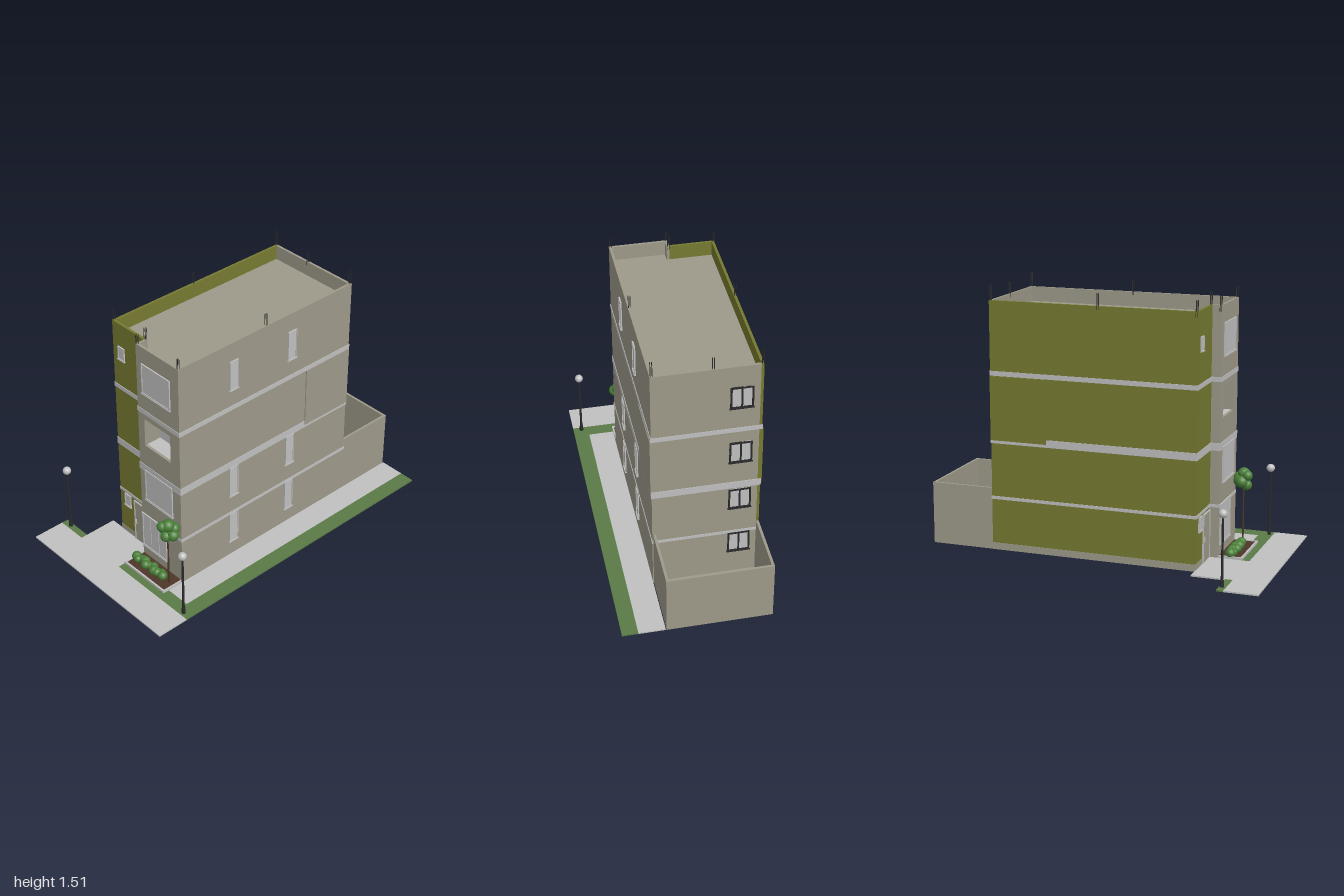
import * as THREE from 'three';

const mat = (name, color) => {
  const m = new THREE.MeshStandardMaterial({ color });
  m.name = name;
  return m;
};

export function createModel() {
  const beige = mat('beige plaster', 0x9e9a8a), olive = mat('olive paint', 0x767a30);
  const grey = mat('light grey', 0xc0c0c0), grass = mat('grass', 0x5a7a46);
  const leaf = mat('leaves', 0x4a8038), soil = mat('soil', 0x4e3629);
  const black = mat('dark metal', 0x2a2a2c), bark = mat('bark', 0x4a3a26);

  const root = new THREE.Group();
  root.name = 'apartmentHouse';
  const group = (name) => {
    const g = new THREE.Group();
    g.name = name;
    root.add(g);
    return g;
  };
  const add = (parent, name, geo, m, x = 0, y = 0, z = 0) => {
    const mesh = new THREE.Mesh(geo, m);
    mesh.name = name;
    mesh.position.set(x, y, z);
    parent.add(mesh);
    return mesh;
  };
  // Box given by its minimum and maximum on each axis
  const box = (parent, name, m, x0, x1, y0, y1, z0, z1) =>
    add(parent, name, new THREE.BoxGeometry(x1 - x0, y1 - y0, z1 - z0), m,
      (x0 + x1) / 2, (y0 + y1) / 2, (z0 + z1) / 2);

  const L = -0.285, R = 0.31, S = -0.025, B = -0.63, F1 = 0.575, F2 = 0.63, H = 1.43, T = 0.015;

  // Ground: paving, lawn strips and planter
  const ground = group('ground');
  const G = 0.008;
  box(ground, 'pavement', grey, -0.555, 0.55, 0, G, 0.81, 1);
  box(ground, 'entrancePath', grey, -0.37, -0.03, 0, G, F1, 0.81);
  box(ground, 'sidePath', grey, R, 0.46, 0, G, -1, 0.73);
  box(ground, 'frontLawnLeft', grass, -0.555, -0.37, 0, G, 0.77, 0.81);
  box(ground, 'frontLawnRight', grass, -0.03, 0.55, 0, G, 0.73, 0.81);
  box(ground, 'sideLawn', grass, 0.46, 0.55, 0, G, -1, 0.73);
  box(ground, 'planterSoil', soil, -0.02, 0.3, 0, 0.018, F2, 0.757);
  box(ground, 'planterFrontEdge', grey, -0.03, R, 0, 0.022, 0.757, 0.768);
  for (const x of [-0.03, 0.3]) box(ground, 'planterSideEdge', grey, x, x + 0.01, 0, 0.022, F2, 0.757);

  // Main walls with parapet
  const house = group('house');
  box(house, 'oliveSideWall', olive, L, L + T, 0.04, H, B, F1);
  box(house, 'oliveFrontWall', olive, L + T, S, 0.04, H, F1 - T, F1);
  box(house, 'sideBase', beige, L - 0.002, L + T, 0, 0.04, B, F1);
  box(house, 'frontBase', beige, L - 0.002, S, 0, 0.04, F1 - T, F1 + 0.002);
  box(house, 'rightWall', beige, R - T, R, 0, H, B, F2);
  box(house, 'backWall', beige, L + T, R - T, 0, H, B, B + T);
  box(house, 'stepWall', beige, S, S + T, 0, H, F1 - T, F2 - T);

  // Front wall with the balcony opening
  const wall = new THREE.Shape([[S, 0], [R - T, 0], [R - T, H], [S, H]].map(p => new THREE.Vector2(...p)));
  wall.holes.push(new THREE.Path(
    [[0.025, 0.8], [0.025, 0.975], [0.235, 0.975], [0.235, 0.8]].map(p => new THREE.Vector2(...p))));
  add(house, 'frontWall', new THREE.ExtrudeGeometry(wall, { depth: T, bevelEnabled: false }), beige, 0, 0, F2 - T);
  box(house, 'roof', beige, L + T, R - T, 1.33, 1.345, B + T, F1 - T);
  box(house, 'roofFront', beige, S + T, R - T, 1.33, 1.345, F1 - T, F2 - T);
  box(house, 'floor', beige, L + T, R - T, 0.002, 0.012, B + T, F1 - T);
  box(house, 'floorFront', beige, S + T, R - T, 0.002, 0.012, F1 - T, F2 - T);

  // Recessed balcony
  const balcony = group('balcony');
  box(balcony, 'balconyFloor', grey, 0.01, 0.25, 0.785, 0.801, 0.52, F2 - T);
  box(balcony, 'balconyCeiling', beige, 0.01, 0.25, 0.975, 0.99, 0.52, F2 - T);
  for (const x of [0.01, 0.235]) box(balcony, 'balconySide', beige, x, x + T, 0.8, 0.976, 0.52, F2 - T);
  box(balcony, 'balconyGlass', grey, 0.025, 0.235, 0.8, 0.976, 0.52, 0.525);
  box(balcony, 'balconyMullion', grey, 0.126, 0.134, 0.8, 0.976, 0.525, 0.53);

  // Floor bands around the building
  const bands = group('floorBands'), e = 0.003;
  for (const [y0, y1] of [[0.297, 0.315], [0.622, 0.665], [1.008, 1.035]]) {
    box(bands, 'band', grey, L - e, R + e, y0, y1, B - e, F1 + e);
    box(bands, 'frontBand', grey, S - e, R + e, y0, y1, F1, F2 + e);
  }

  // Raised wall panels on both sides
  box(house, 'rightPanel', beige, R, R + 0.006, 0.64, 1.006, B, -0.295);
  box(house, 'leftPanel', olive, L - 0.008, L, 0.64, 1.006, B, -0.295);

  // Rear yard: open-topped enclosure
  const yard = group('rearYard');
  box(yard, 'yardBackWall', beige, L, 0.305, 0, 0.36, -1, -1 + T);
  box(yard, 'yardLeftWall', beige, L, L + T, 0, 0.36, -1 + T, B);
  box(yard, 'yardRightWall', beige, 0.305 - T, 0.305, 0, 0.36, -1 + T, B);
  box(yard, 'yardFloor', beige, L + T, 0.305 - T, 0.002, 0.01, -1 + T, B);

  // Window in local coordinates, facing +z: glass, frame, mullions and sill
  const makeWindow = (name, w, h, frame, bars, fw = 0.006, sill = grey) => {
    const g = group(name);
    box(g, 'glass', grey, -w / 2, w / 2, 0, h, 0, 0.004);
    for (const s of [-1, 1]) {
      const x = s * (w / 2 - fw / 2);
      box(g, 'frameSide', frame, x - fw / 2, x + fw / 2, 0, h, 0, 0.008);
    }
    for (const y of [0, h - fw]) box(g, 'frameRail', frame, -w / 2 + fw, w / 2 - fw, y, y + fw, 0, 0.008);
    for (let i = 1; i <= bars; i++) {
      const x = -w / 2 + (w * i) / (bars + 1);
      box(g, 'mullion', frame, x - fw / 2, x + fw / 2, fw, h - fw, 0, 0.007);
    }
    box(g, 'sill', sill, -w / 2 - 0.004, w / 2 + 0.004, -0.004, 0, 0, 0.011);
    return g;
  };
  for (const [x0, x1, y0, y1, bars] of [
    [0.02, 0.245, 1.145, 1.33, 0], [0.02, 0.245, 0.432, 0.635, 0], [-0.018, 0.185, 0.085, 0.315, 2]])
    makeWindow('frontWindow', x1 - x0, y1 - y0, grey, bars).position.set((x0 + x1) / 2, y0, F2);
  for (const y of [1.21, 0.212])
    makeWindow('smallWindow', 0.052, 0.08, grey, 0, 0.004).position.set(-0.215, y, F1);
  for (const z of [0.248, -0.178]) for (const [y0, y1] of [[1.14, 1.32], [0.428, 0.625], [0.105, 0.305]]) {
    const w = makeWindow('sideWindow', 0.062, y1 - y0, grey, 0, 0.004);
    w.position.set(R, y0, z);
    w.rotation.y = Math.PI / 2;
  }
  for (const y of [1.168, 0.803, 0.48, 0.165]) {
    const w = makeWindow('backWindow', 0.125, 0.135, black, 1, 0.01, black);
    w.position.set(-0.172, y, B);
    w.rotation.y = Math.PI;
  }

  // Entrance door
  const door = group('door');
  box(door, 'doorLeaf', beige, -0.152, -0.04, G, 0.28, F1, F1 + 0.005);
  for (const x of [-0.16, -0.04]) box(door, 'doorJamb', grey, x, x + 0.007, G, 0.287, F1, F1 + 0.008);
  box(door, 'doorHead', grey, -0.153, -0.04, 0.28, 0.287, F1, F1 + 0.008);
  box(door, 'doorHandle', grey, -0.143, -0.139, 0.125, 0.16, F1 + 0.005, F1 + 0.012);

  // Bundles of reinforcing rods on the parapet
  const rods = group('roofRods');
  const rod = new THREE.CylinderGeometry(0.0016, 0.0016, 0.09, 6);
  for (const [x, z, top] of [
    [-0.279, 0.566, 1.49], [-0.02, 0.566, 1.5], [-0.02, 0.622, 1.485], [0.301, 0.622, 1.49],
    [0.301, 0.008, 1.5], [-0.279, 0.008, 1.5], [-0.279, -0.621, 1.515], [0.301, -0.621, 1.515], [-0.02, -0.621, 1.5]])
    for (const dx of [-0.005, 0.005]) for (const dz of [-0.005, 0.005])
      add(rods, 'rod', rod, black, x + dx, top - 0.045, z + dz);

  // Street lamps
  for (const x of [-0.5, 0.5]) {
    const lamp = group('streetLamp');
    lamp.position.set(x, 0, 0.787);
    add(lamp, 'lampBase', new THREE.CylinderGeometry(0.01, 0.012, 0.04, 12), black, 0, 0.025, 0);
    add(lamp, 'lampPole', new THREE.CylinderGeometry(0.006, 0.007, 0.35, 10), black, 0, 0.215, 0);
    add(lamp, 'lampGlobe', new THREE.SphereGeometry(0.024, 20, 14), grey, 0, 0.41, 0);
  }

  // Tree and shrubs
  const blob = new THREE.SphereGeometry(1, 16, 12);
  const tree = group('tree');
  add(tree, 'trunk', new THREE.CylinderGeometry(0.004, 0.006, 0.35, 8), bark, 0.265, 0.19, 0.69);
  for (const [x, y, z, r] of [
    [0.27, 0.425, 0.69, 0.036], [0.235, 0.385, 0.685, 0.035], [0.3, 0.37, 0.68, 0.033],
    [0.265, 0.385, 0.67, 0.04], [0.27, 0.36, 0.705, 0.032], [0.25, 0.42, 0.715, 0.03], [0.285, 0.4, 0.66, 0.033]])
    add(tree, 'leafCluster', blob, leaf, x, y, z).scale.setScalar(r);
  const shrubs = group('shrubs');
  for (let i = 0; i < 11; i++) {
    const r = 0.021 + 0.008 * Math.abs(Math.sin(i * 2.3 + 1.2));
    add(shrubs, 'shrub', blob, leaf, -0.008 + i * 0.0225, 0.036, 0.694 + 0.012 * Math.sin(i * 1.9))
      .scale.set(r, r * 0.95, r);
  }
  return root;
}
